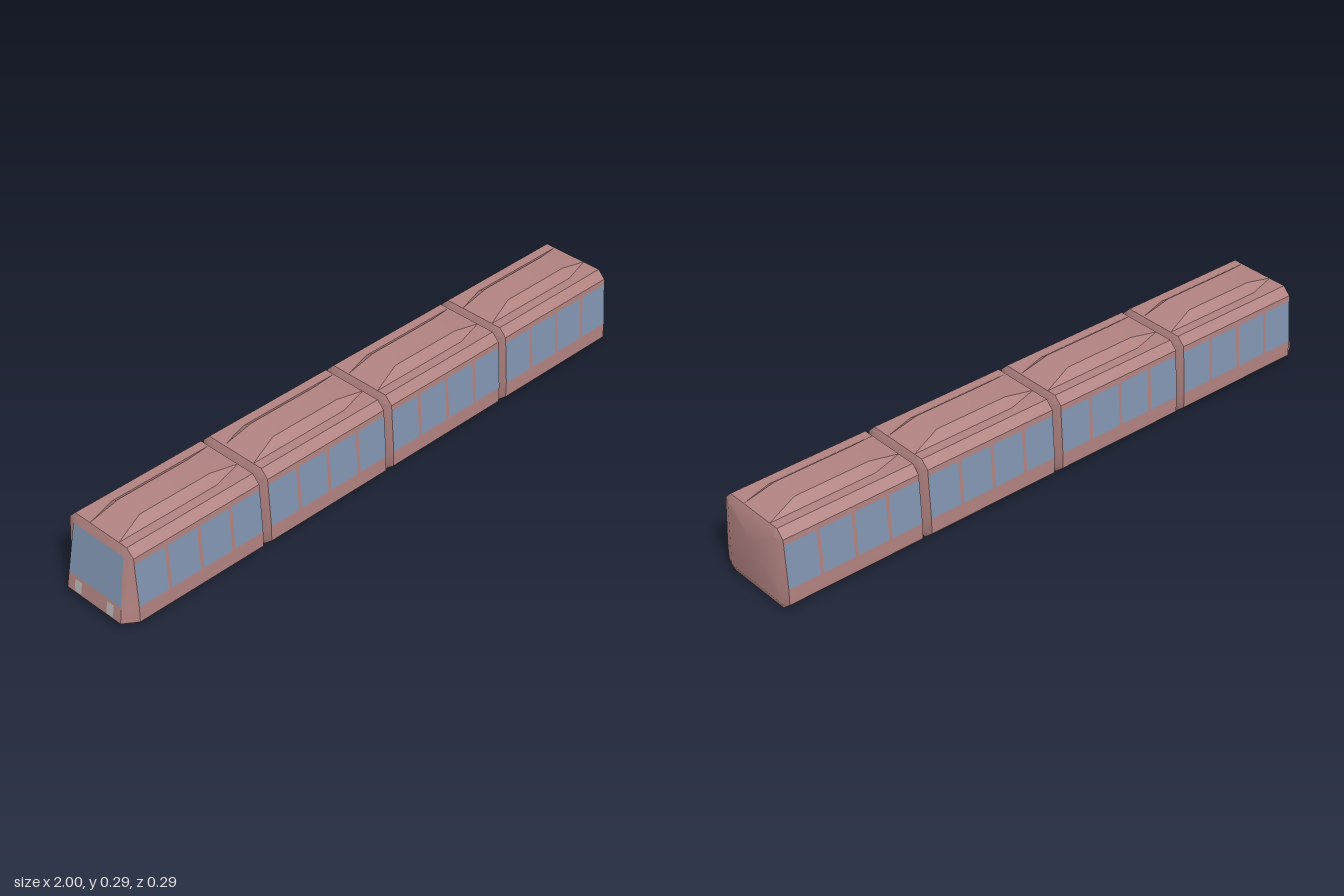
import * as THREE from 'three';
import { toCreasedNormals } from 'three/addons/utils/BufferGeometryUtils.js';

const paint = new THREE.MeshStandardMaterial({ color: 0xb08280 });
const glass = new THREE.MeshStandardMaterial({ color: 0x8094b0 });
const lamp = new THREE.MeshStandardMaterial({ color: 0xb4b4b4 });

const PITCH = 0.495, LENGTH = 0.487, BEVEL = 0.012;

// Half cross-sections as [z, y], from the floor up to the roof
const bodyHalf = (roofY) => [[0.112, 0], [0.143, 0.027], [0.143, 0.08], [0.132, 0.24],
  [0.107, 0.265], [0.075, 0.265], [0.045, roofY]];
const endHalf = [[0.112, 0.027], [0.112, 0.027], [0.11, 0.08], [0.105, 0.24],
  [0.105, 0.24], [0.075, 0.24], [0.045, 0.24]];

// Sloping face of the leading car
const noseX = (y) => -1 + (y - 0.027) * 0.16;
const sideZ = (y) => 0.143 - (y - 0.08) * 0.069;

// Mirrors a half section into a closed ring; xAt gives x for each height
function ring(half, xAt) {
  const mirrored = half.map(([z, y]) => [-z, y]).reverse();
  return [...half, ...mirrored].map(([z, y]) => new THREE.Vector3(xAt(y), y, z));
}

// Skins a list of rings running towards +x and closes both ends
function loft(rings) {
  const pos = [];
  const tri = (a, b, c) => {
    const area = b.clone().sub(a).cross(c.clone().sub(a)).length();
    if (area > 1e-8) for (const p of [a, b, c]) pos.push(p.x, p.y, p.z);
  };
  const n = rings[0].length;
  for (let i = 0; i < rings.length - 1; i++) {
    for (let j = 0; j < n; j++) {
      const k = (j + 1) % n, a = rings[i], b = rings[i + 1];
      tri(a[j], b[j], b[k]);
      tri(a[j], b[k], a[k]);
    }
  }
  const first = rings[0], last = rings[rings.length - 1];
  const centre = (r) => r.reduce((s, p) => s.add(p), new THREE.Vector3()).divideScalar(n);
  const c0 = centre(first), c1 = centre(last);
  for (let j = 0; j < n; j++) {
    const k = (j + 1) % n;
    tri(c0, first[j], first[k]);
    tri(c1, last[k], last[j]);
  }
  const geo = new THREE.BufferGeometry();
  geo.setAttribute('position', new THREE.Float32BufferAttribute(pos, 3));
  return toCreasedNormals(geo, 0.5);
}

// Flat four-cornered panel, corners counter-clockwise from outside
function panel(name, corners, material) {
  const geo = new THREE.BufferGeometry();
  geo.setAttribute('position', new THREE.Float32BufferAttribute(corners.flat(), 3));
  geo.setIndex([0, 1, 2, 0, 2, 3]);
  geo.computeVertexNormals();
  const mesh = new THREE.Mesh(geo, material);
  mesh.name = name;
  return mesh;
}

function sideWindow(x0, x1, side) {
  const y0 = 0.08, y1 = 0.222, lift = 0.001;
  const p = (x, y) => [x, y, side * (sideZ(y) + lift)];
  const corners = [p(x0, y0), p(x1, y0), p(x1, y1), p(x0, y1)];
  return panel(side > 0 ? 'frontSideWindow' : 'backSideWindow',
    side > 0 ? corners : corners.reverse(), glass);
}

function nosePanel(name, z0, z1, y0, y1, inset, material) {
  const p = (z, y) => [noseX(y) - 0.001, y, z];
  return panel(name, [p(z0, y0), p(z1, y0), p(z1 - inset, y1), p(z0 + inset, y1)], material);
}

function car(index) {
  const group = new THREE.Group();
  group.name = index === 0 ? 'leadingCar' : 'car' + (index + 1);
  const end = 1 - PITCH * (3 - index), start = end - LENGTH;
  const leading = index === 0;
  const bodyStart = leading ? -0.956 : start + BEVEL;

  // Shell with bevelled ends and a raised roof
  const body = new THREE.Mesh(loft([
    ring(endHalf, leading ? noseX : () => start),
    ring(bodyHalf(0.265), () => bodyStart),
    ring(bodyHalf(0.288), () => start + 0.117),
    ring(bodyHalf(0.288), () => end - 0.117),
    ring(bodyHalf(0.265), () => end - BEVEL),
    ring(endHalf, () => end),
  ]), paint);
  body.name = 'carBody';
  group.add(body);

  // Four windows on each side
  const x0 = bodyStart + 0.001, x1 = end - BEVEL - 0.001, gap = 0.012;
  const width = (x1 - x0 - 3 * gap) / 4;
  for (let i = 0; i < 4; i++) {
    const x = x0 + i * (width + gap);
    for (const side of [1, -1]) group.add(sideWindow(x, x + width, side));
  }

  // Windscreen and headlights
  if (leading) {
    group.add(nosePanel('windscreen', -0.109, 0.109, 0.08, 0.238, 0.005, glass));
    for (const z of [-0.067, 0.067]) {
      group.add(nosePanel('headlight', z - 0.014, z + 0.014, 0.032, 0.07, 0, lamp));
    }
  }
  return group;
}

export function createModel() {
  const train = new THREE.Group();
  train.name = 'train';
  for (let i = 0; i < 4; i++) train.add(car(i));
  return train;
}
